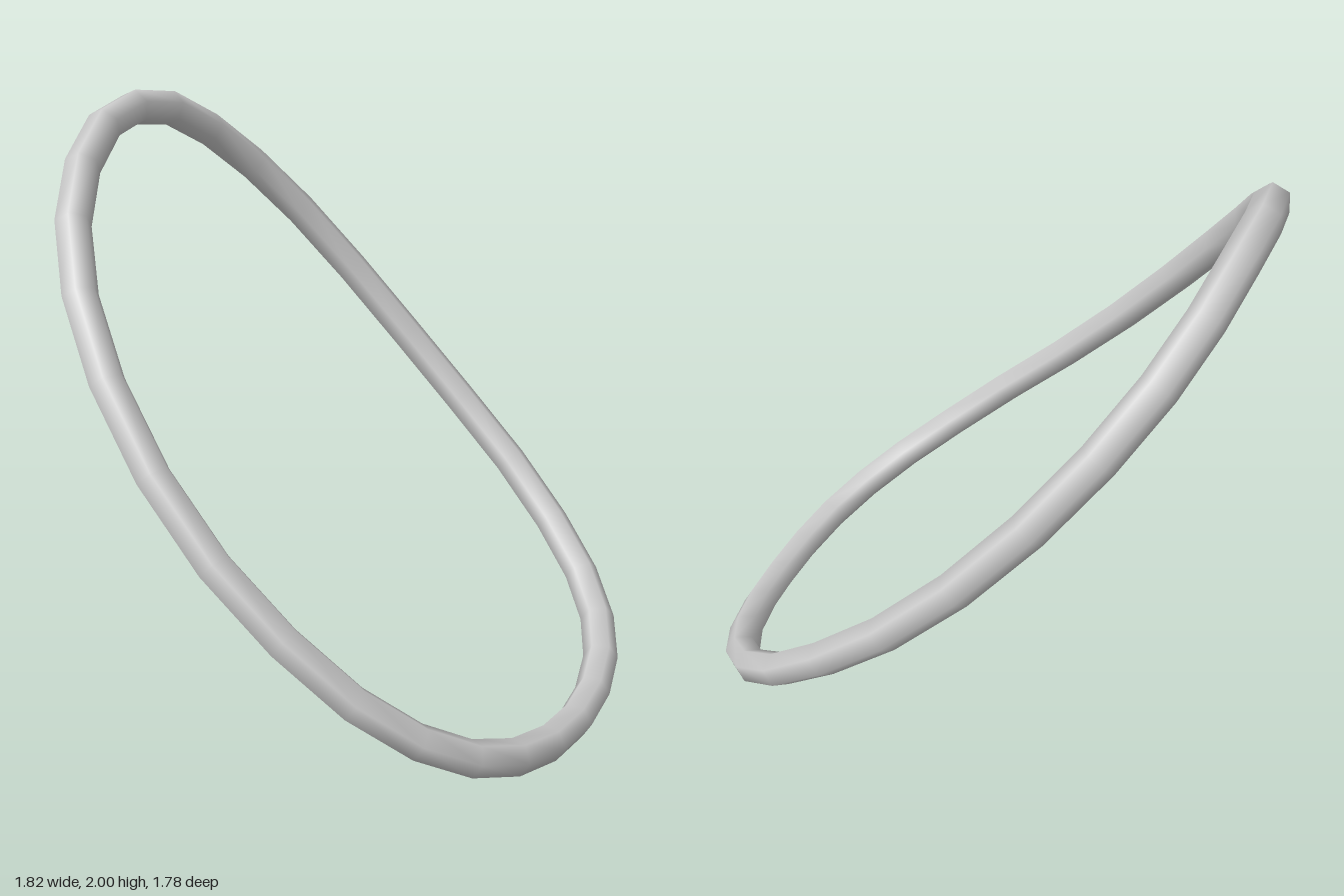
import * as THREE from 'three';

// Half of the ring's centre line, from its low end to its high end: [x, y]
const HALF = [
  [0.85, 0.054], [0.838, 0.066], [0.797, 0.1], [0.719, 0.16], [0.598, 0.255],
  [0.432, 0.39], [0.227, 0.57], [0, 0.775], [-0.227, 1.01], [-0.432, 1.255],
  [-0.598, 1.48], [-0.719, 1.665], [-0.797, 1.81], [-0.84, 1.91], [-0.855, 1.94],
];
const STEPS = HALF.length - 1;
const DEPTH = 0.835;

// Closed spline whose rings sit exactly on the control points
class LoopCurve extends THREE.CatmullRomCurve3 {
  getUtoTmapping(u) {
    return u;
  }
}

export function createModel() {
  const group = new THREE.Group();
  group.name = 'bentRing';

  // Go up one side and come back down the mirrored side
  const points = [];
  for (let i = 0; i < 2 * STEPS; i++) {
    const [x, y] = HALF[i <= STEPS ? i : 2 * STEPS - i];
    points.push(new THREE.Vector3(x, y, DEPTH * Math.sin((i * Math.PI) / STEPS)));
  }

  // Six-sided smooth tube
  const curve = new LoopCurve(points, true);
  const ring = new THREE.Mesh(
    new THREE.TubeGeometry(curve, points.length, 0.06, 6, true),
    new THREE.MeshStandardMaterial({ color: 0xcccccc })
  );
  ring.name = 'ring';
  group.add(ring);
  return group;
}
